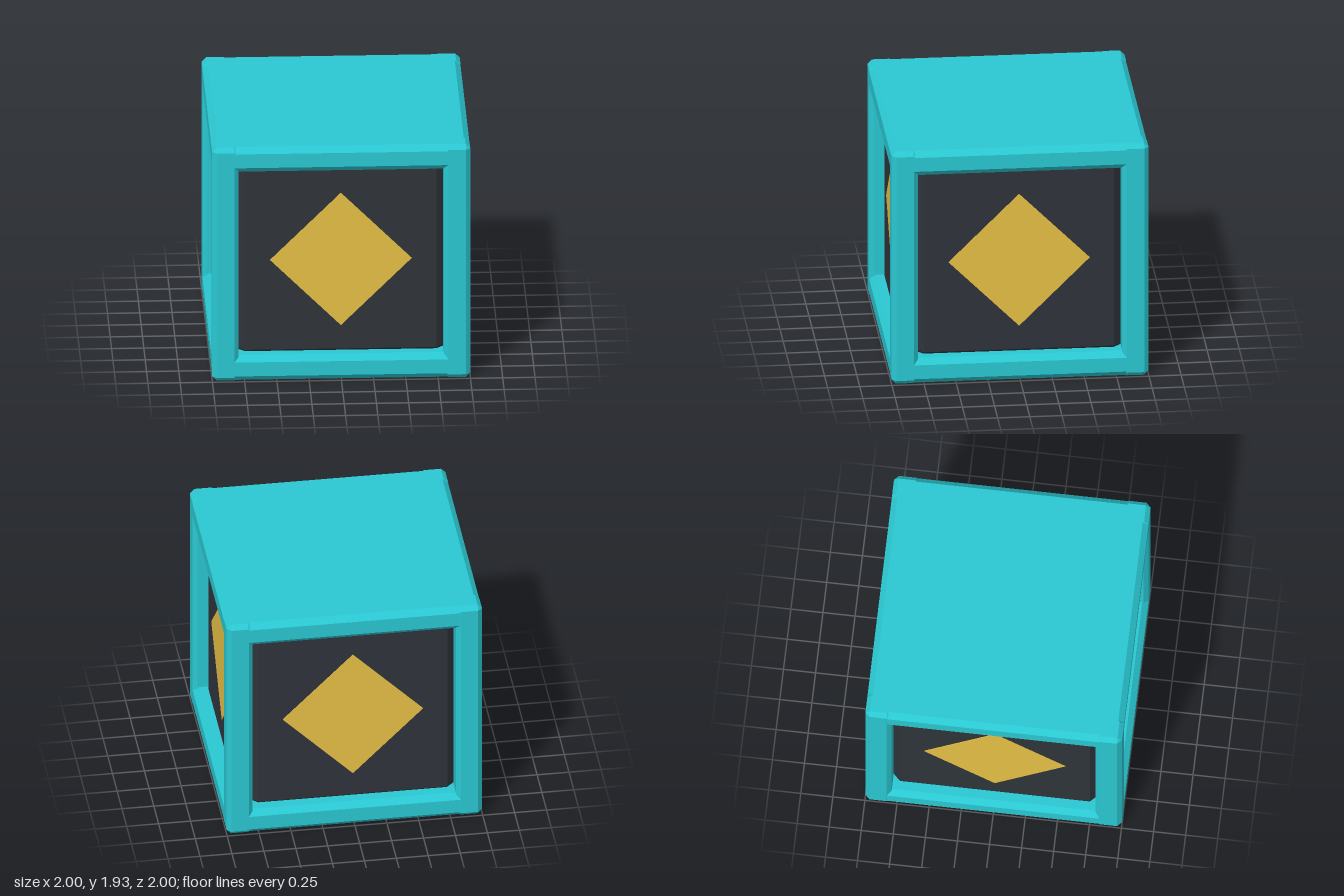
import * as THREE from 'three';
import { ConvexGeometry } from 'three/addons/geometries/ConvexGeometry.js';

const H = 1.935, MID = H / 2;
const SIGNS = [-1, 1];

const material = (color) => new THREE.MeshStandardMaterial({ color, flatShading: true });

// Hull of the given points, mirrored over all three axes
function mirroredHull(points) {
  const all = [];
  for (const [x, y, z] of points)
    for (const sx of SIGNS) for (const sy of SIGNS) for (const sz of SIGNS)
      all.push(new THREE.Vector3(x * sx, y * sy, z * sz));
  return new ConvexGeometry(all);
}

// Box with all twelve edges chamfered by c
function chamferedBox(w, h, d, c) {
  const x = w / 2, y = h / 2, z = d / 2;
  return mirroredHull([[x, y - c, z - c], [x - c, y, z - c], [x - c, y - c, z]]);
}

// Bar along x with its four long edges chamfered by c
function chamferedBar(w, h, d, c) {
  const x = w / 2, y = h / 2, z = d / 2;
  return mirroredHull([[x, y - c, z], [x, y, z - c]]);
}

export function createModel() {
  const group = new THREE.Group();
  const teal = material(0x2ac8d2), dark = material(0x2f343b), gold = material(0xe6c045);

  function add(name, geometry, mat, x, y, z, parent = group) {
    const mesh = new THREE.Mesh(geometry, mat);
    mesh.name = name;
    mesh.position.set(x, y, z);
    parent.add(mesh);
    return mesh;
  }

  // Dark inner block, its wide chamfers showing at the window edges
  add('core', chamferedBox(1.78, 1.79, 1.78, 0.15), dark, 0, MID, 0);

  // Corner posts
  const post = chamferedBox(0.205, H, 0.205, 0.035);
  for (const x of SIGNS) for (const z of SIGNS)
    add('cornerPost', post, teal, x * 0.8975, MID, z * 0.8975);

  // Top and bottom plates
  const plate = new THREE.BoxGeometry(1.91, 0.12, 1.91);
  add('topPlate', plate, teal, 0, H - 0.06, 0);
  add('bottomPlate', plate, teal, 0, 0.06, 0);

  // Each side: upper and lower rail, and a diamond on the panel
  const rail = chamferedBar(1.655, 0.205, 0.25, 0.045);
  const diamond = new THREE.BoxGeometry(0.777, 0.777, 0.02);
  for (let i = 0; i < 4; i++) {
    const side = new THREE.Group();
    side.name = ['frontSide', 'leftSide', 'backSide', 'rightSide'][i];
    side.rotation.y = i * Math.PI / 2;
    group.add(side);
    add('upperRail', rail, teal, 0, H - 0.1025, 0.875, side);
    add('lowerRail', rail, teal, 0, 0.1025, 0.875, side);
    add('diamond', diamond, gold, 0, MID, 0.885, side).rotation.z = Math.PI / 4;
  }
  return group;
}
